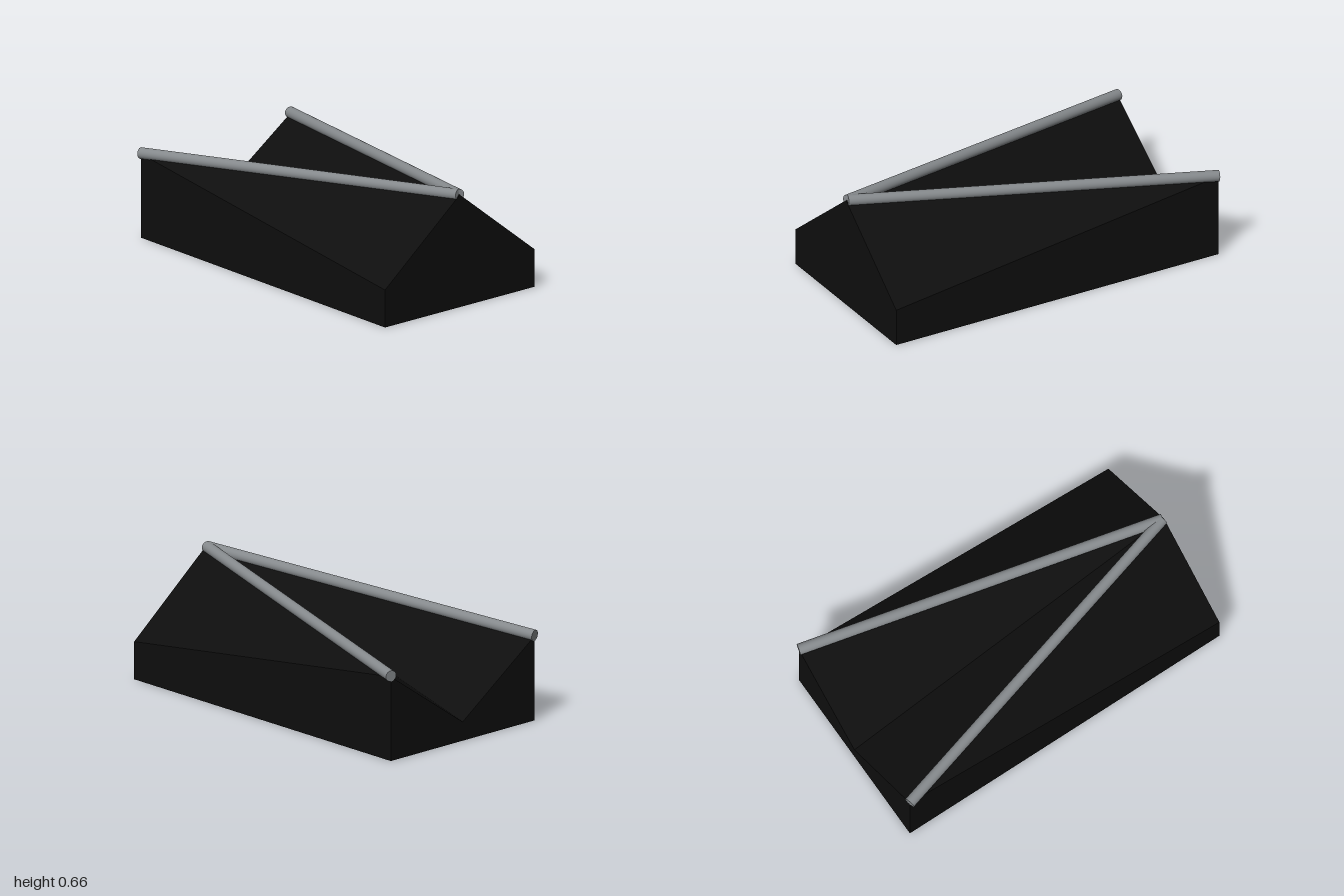
import * as THREE from 'three';

const RIGHT = -0.99, LEFT = 1, HALF = 0.525;
const APEX = [LEFT, 0.63, 0];
const VALLEY = [RIGHT, 0.105, 0];

// Flat panel from a convex loop of corners, counter-clockwise from outside
function panel(name, corners, material) {
  const geometry = new THREE.BufferGeometry();
  geometry.setAttribute('position', new THREE.Float32BufferAttribute(corners.flat(), 3));
  const index = [];
  for (let i = 1; i < corners.length - 1; i++) index.push(0, i, i + 1);
  geometry.setIndex(index);
  geometry.computeVertexNormals();
  const mesh = new THREE.Mesh(geometry, material);
  mesh.name = name;
  return mesh;
}

// Round bar between two points
function bar(name, from, to, radius, material) {
  const a = new THREE.Vector3(...from), b = new THREE.Vector3(...to);
  const mesh = new THREE.Mesh(new THREE.CylinderGeometry(radius, radius, a.distanceTo(b), 32), material);
  mesh.position.copy(a).add(b).multiplyScalar(0.5);
  mesh.quaternion.setFromUnitVectors(new THREE.Vector3(0, 1, 0), b.sub(a).normalize());
  mesh.name = name;
  return mesh;
}

export function createModel() {
  const model = new THREE.Group();
  model.name = 'foldedRoofBuilding';
  const dark = new THREE.MeshStandardMaterial({ color: 0x0e0e0e, side: THREE.DoubleSide });
  const grey = new THREE.MeshStandardMaterial({ color: 0x85898c });

  // Each side: long wall, two roof folds and the bar along the ridge
  for (const s of [1, -1]) {
    const side = s > 0 ? 'front' : 'back';
    const peak = [RIGHT, 0.47, s * HALF];
    const eave = [LEFT, 0.21, s * HALF];
    const add = (name, corners) =>
      model.add(panel(side + name, s > 0 ? corners : corners.reverse(), dark));
    add('Wall', [[RIGHT, 0, s * HALF], [LEFT, 0, s * HALF], eave, peak]);
    add('OuterRoof', [peak, eave, APEX]);
    add('InnerRoof', [VALLEY, peak, APEX]);
    model.add(bar(side + 'RidgeBar', [-0.992, 0.474, s * HALF], [0.992, 0.628, 0], 0.031, grey));
  }

  // End walls: a gable on the left, a notch on the right
  model.add(panel('gableWall',
    [[LEFT, 0, HALF], [LEFT, 0, -HALF], [LEFT, 0.21, -HALF], APEX, [LEFT, 0.21, HALF]], dark));
  model.add(panel('notchedWall',
    [VALLEY, [RIGHT, 0.47, -HALF], [RIGHT, 0, -HALF], [RIGHT, 0, HALF], [RIGHT, 0.47, HALF]], dark));

  // Floor
  model.add(panel('floor',
    [[RIGHT, 0, -HALF], [LEFT, 0, -HALF], [LEFT, 0, HALF], [RIGHT, 0, HALF]], dark));
  return model;
}
